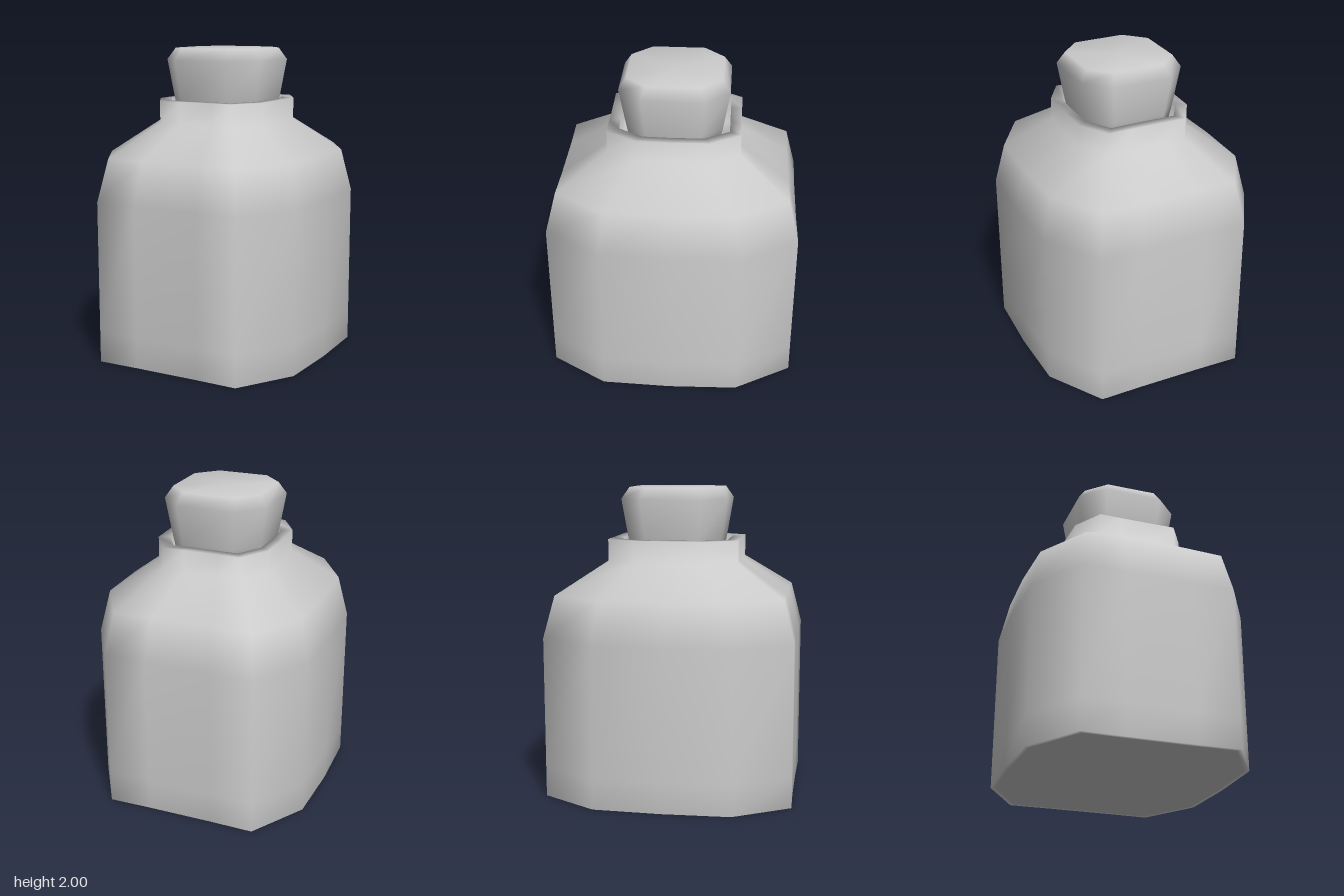
import * as THREE from 'three';

const material = new THREE.MeshStandardMaterial({ color: 0xcccccc, side: THREE.DoubleSide });

// Full outline from the corner points of one quarter (+x, -z), ordered from the side to the back.
function mirrorOutline(quarter) {
  const half = [...quarter, ...quarter.slice().reverse().filter(([x]) => x > 0).map(([x, z]) => [-x, z])];
  const rest = half.filter(([, z]) => z < 0).reverse().map(([x, z]) => [x, -z]);
  return [...half, ...rest];
}

// Smooth skin through scaled copies of one outline; each ring is [scale, height].
function loft(name, outline, rings) {
  const n = outline.length, positions = [], index = [];
  for (const [s, y] of rings) for (const [x, z] of outline) positions.push(x * s, y, z * s);
  for (let i = 0; i < rings.length - 1; i++) {
    for (let j = 0; j < n; j++) {
      const a = i * n + j, b = i * n + (j + 1) % n;
      if (rings[i][0] > 0) index.push(a, b, b + n);
      if (rings[i + 1][0] > 0) index.push(a, b + n, a + n);
      else if (rings[i][0] > 0) continue;
    }
  }
  const geometry = new THREE.BufferGeometry();
  geometry.setAttribute('position', new THREE.Float32BufferAttribute(positions, 3));
  geometry.setIndex(index);
  geometry.computeVertexNormals();
  const mesh = new THREE.Mesh(geometry, material);
  mesh.name = name;
  return mesh;
}

export function createModel() {
  const group = new THREE.Group();
  group.name = 'stopperedBottle';

  // Bottle: base, straight walls, sloped shoulder, neck and hollow mouth
  const bottleOutline = mirrorOutline([[0.73, 0], [0.715, -0.44], [0.495, -0.8], [0.22, -0.795]]);
  group.add(loft('bottle', bottleOutline, [
    [0, 0], [0.96, 0], [1, 0], [1, 0.2], [1, 1.05], [0.915, 1.32],
    [0.525, 1.53], [0.525, 1.67], [0.437, 1.67], [0.437, 1.5], [0, 1.5],
  ]));

  // Stopper: tapered plug with a bevelled top
  const stopperOutline = mirrorOutline([[0.342, -0.195], [0.195, -0.345]]);
  group.add(loft('stopper', stopperOutline, [
    [0, 1.5], [0.79, 1.5], [0.88, 1.67], [1, 1.925], [0.86, 2], [0, 2],
  ]));

  return group;
}
